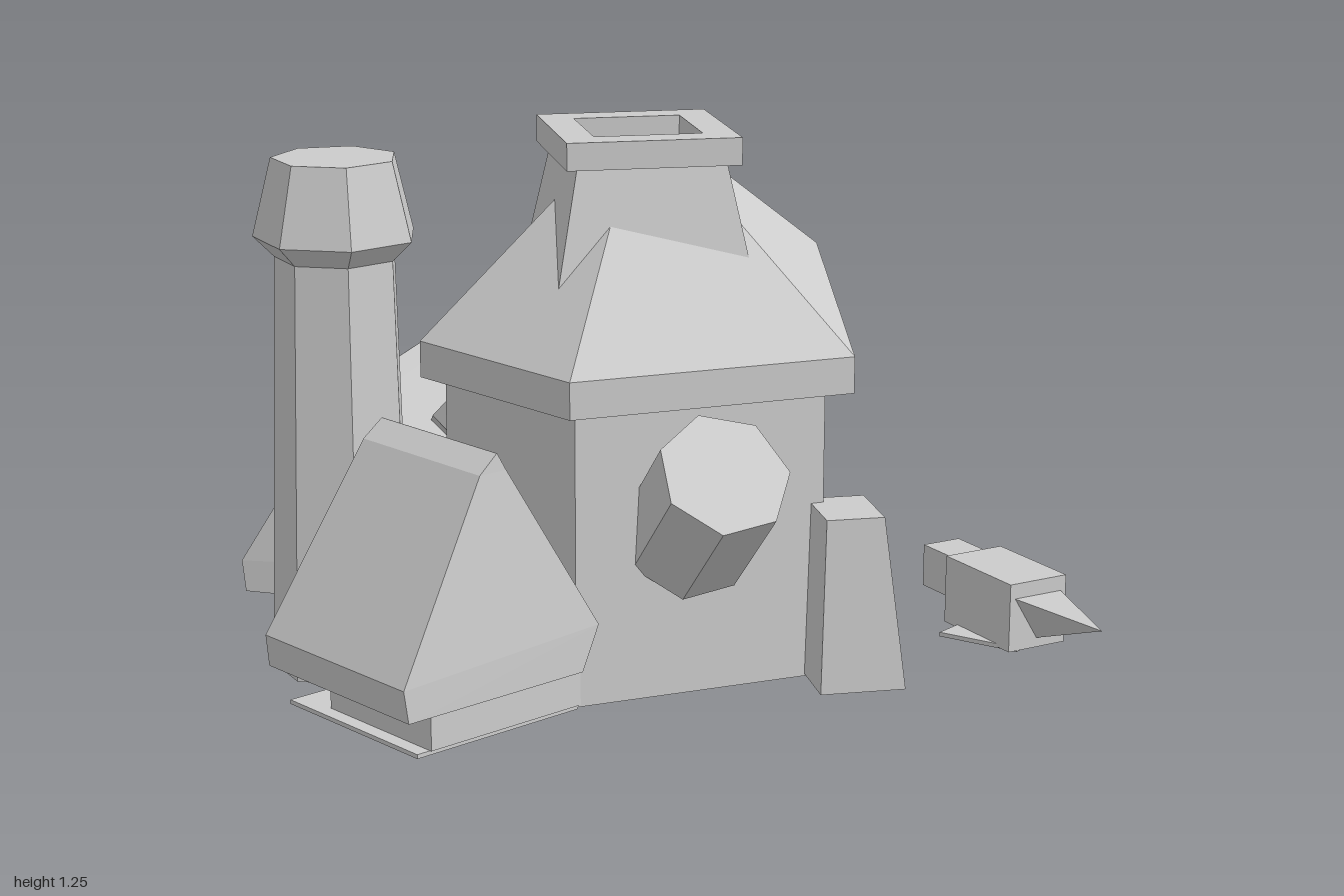
import * as THREE from 'three';

const mat = new THREE.MeshStandardMaterial({ color: 0xcccccc, flatShading: true });

function add(parent, name, geo, x = 0, y = 0, z = 0) {
  const m = new THREE.Mesh(geo, mat);
  m.name = name;
  m.position.set(x, y, z);
  parent.add(m);
  return m;
}

function group(parent, name, x, y, z, ry) {
  const g = new THREE.Group();
  g.name = name;
  g.position.set(x, y, z);
  g.rotation.y = ry;
  parent.add(g);
  return g;
}

const mid = (ring) => [0, 1, 2].map((i) => ring.reduce((s, p) => s + p[i], 0) / ring.length);

// Skins a stack of equal rings (counter-clockwise from the end) and fans both ends shut
function loft(rings, startCentre = mid(rings[0]), endCentre = mid(rings[rings.length - 1])) {
  const v = [];
  const n = rings[0].length;
  const last = rings[rings.length - 1];
  for (let j = 0; j < n; j++) {
    const k = (j + 1) % n;
    for (let i = 0; i + 1 < rings.length; i++) {
      const a = rings[i], b = rings[i + 1];
      v.push(...a[j], ...a[k], ...b[k], ...a[j], ...b[k], ...b[j]);
    }
    v.push(...rings[0][k], ...rings[0][j], ...startCentre);
    v.push(...last[j], ...last[k], ...endCentre);
  }
  const g = new THREE.BufferGeometry();
  g.setAttribute('position', new THREE.Float32BufferAttribute(v, 3));
  g.computeVertexNormals();
  return g;
}

const level = (plan, y) => plan.map(([x, z]) => [x, y, z]);
const rect = (hx, zf, zb, yf, yb = yf) => [[-hx, yf, zf], [hx, yf, zf], [hx, yb, zb], [-hx, yb, zb]];

function house(root) {
  // Five-sided plan; the fourth point is the middle of the rear gable
  const wall = [[-0.30, 0.255], [0.15, 0.255], [0.36, -0.315], [0.107, -0.465], [-0.145, -0.615], [-0.54, -0.155]];
  const eave = [[-0.33, 0.305], [0.19, 0.305], [0.44, -0.326], [0.142, -0.503], [-0.155, -0.68], [-0.61, -0.155]];
  const apex = [-0.09, 1.29, -0.16];
  const withPeak = (plan, y, peak) => level(plan, y).map((p, i) => (i === 3 ? [p[0], peak, p[2]] : p));

  add(root, 'walls', loft([level(wall, 0.005), withPeak(wall, 0.71, 0.885)], undefined, [apex[0], 0.885, apex[2]]));

  // Hipped roof with a ridge running to the gable, cut off inside the chimney
  const top = withPeak(eave, 0.775, 0.965);
  const cut = top.map((p) => {
    const t = (1.165 - p[1]) / (apex[1] - p[1]);
    return p.map((c, i) => c + (apex[i] - c) * t);
  });
  add(root, 'mainRoof', loft([withPeak(eave, 0.69, 0.885), top, cut], [apex[0], 0.87, apex[2]]));

  // Square tapered chimney and its hollow collar
  const chimney = group(root, 'chimney', -0.083, 0, -0.142, -0.54);
  const sq = (h, y) => rect(h, h, -h, y);
  add(chimney, 'chimneyStack', loft([sq(0.24, 0.85), sq(0.172, 1.19), sq(0.125, 1.19), sq(0.125, 1.17)]));
  add(chimney, 'chimneyCollar', loft([sq(0.125, 1.17), sq(0.172, 1.19), sq(0.2, 1.19), sq(0.2, 1.253), sq(0.125, 1.253), sq(0.125, 1.17)]));

  // Tapered buttresses at the two rear corners
  for (const [x, z] of [[0.437, -0.339], [-0.123, -0.672]]) {
    const b = group(root, 'buttress', x, 0, z, -0.535);
    add(b, 'buttressBlock', loft([rect(0.1, 0.1, -0.1, 0.01), rect(0.09, 0.09, -0.045, 0.42)]));
  }
}

// Tent-roofed porch on a low step
function wing(root, name, x, z, ry) {
  const w = group(root, name, x, 0, z, ry);
  add(w, 'wingRoof', loft([
    rect(0.25, 0.79, 0.3, 0.12),
    rect(0.247, 0.8, 0.25, 0.195, 0.22),
    rect(0.203, 0.55, 0.477, 0.61),
    rect(0.2, 0.5, 0.499, 0.65),
  ]));
  add(w, 'wingPlinth', new THREE.BoxGeometry(0.3, 0.04, 0.38), 0, 0.11, 0.45);
  add(w, 'wingStep', new THREE.BoxGeometry(0.36, 0.09, 0.43), 0, 0.055, 0.46);
  return w;
}

// Seven-sided tower with a flared cap
function tower(root) {
  const t = group(root, 'tower', -0.43, 0, 0.46, 0);
  for (const [name, rTop, rBottom, y0, y1] of [
    ['towerShaft', 0.142, 0.17, 0.01, 0.98],
    ['towerFlare', 0.19, 0.142, 0.98, 1.027],
    ['towerCap', 0.145, 0.19, 1.027, 1.207],
  ]) {
    add(t, name, new THREE.CylinderGeometry(rTop, rBottom, y1 - y0, 7, 1, false, 0.2), 0, (y0 + y1) / 2, 0);
  }
}

// Seven-sided spout leaning out of a wall; the centre is that of its outer face
function spout(root, centre, axis, r, len) {
  const dir = new THREE.Vector3(...axis).normalize();
  const m = add(root, 'spout', new THREE.CylinderGeometry(r, r, len, 7));
  m.quaternion.setFromUnitVectors(new THREE.Vector3(0, 1, 0), dir);
  m.position.set(...centre).addScaledVector(dir, -len / 2);
}

// Small blocky bird hovering behind the house
function bird(root) {
  const b = group(root, 'bird', 0.645, 0.19, -0.625, -0.22);
  add(b, 'birdBody', new THREE.BoxGeometry(0.25, 0.16, 0.155));
  add(b, 'birdTail', new THREE.BoxGeometry(0.16, 0.1, 0.1), -0.195, 0.01, -0.015);
  const tip = [0.365, 0.03, 0.005];
  add(b, 'birdBeak', loft([[[0.12, -0.06, 0], [0.12, 0.045, -0.065], [0.12, 0.045, 0.065]], [tip, tip, tip]]));
  const plan = [[-0.05, 0.144], [0.125, 0.054], [0.037, -0.152], [-0.115, -0.035]];
  add(b, 'birdWings', loft([level(plan, -0.083), level(plan, -0.073)]));
}

export function createModel() {
  const root = new THREE.Group();
  root.name = 'house';
  house(root);

  const front = wing(root, 'frontWing', -0.025, 0, 0);
  add(front, 'groundSlab', new THREE.BoxGeometry(0.46, 0.01, 0.46), -0.055, 0.005, 0.48);
  const side = wing(root, 'sideWing', -0.2, -0.106, Math.atan2(-0.854, 0.52));
  add(side, 'groundSlab', new THREE.BoxGeometry(0.42, 0.01, 0.46), 0.02, 0.005, 0.47);

  tower(root);
  spout(root, [0.42, 0.57, 0.056], [0.68, 0.68, 0.27], 0.152, 0.32);
  spout(root, [-0.475, 0.57, -0.47], [-0.55, 0.68, -0.48], 0.152, 0.32);
  spout(root, [-0.52, 0.56, 0.06], [-0.63, 0.68, 0.38], 0.075, 0.25);
  bird(root);
  return root;
}
